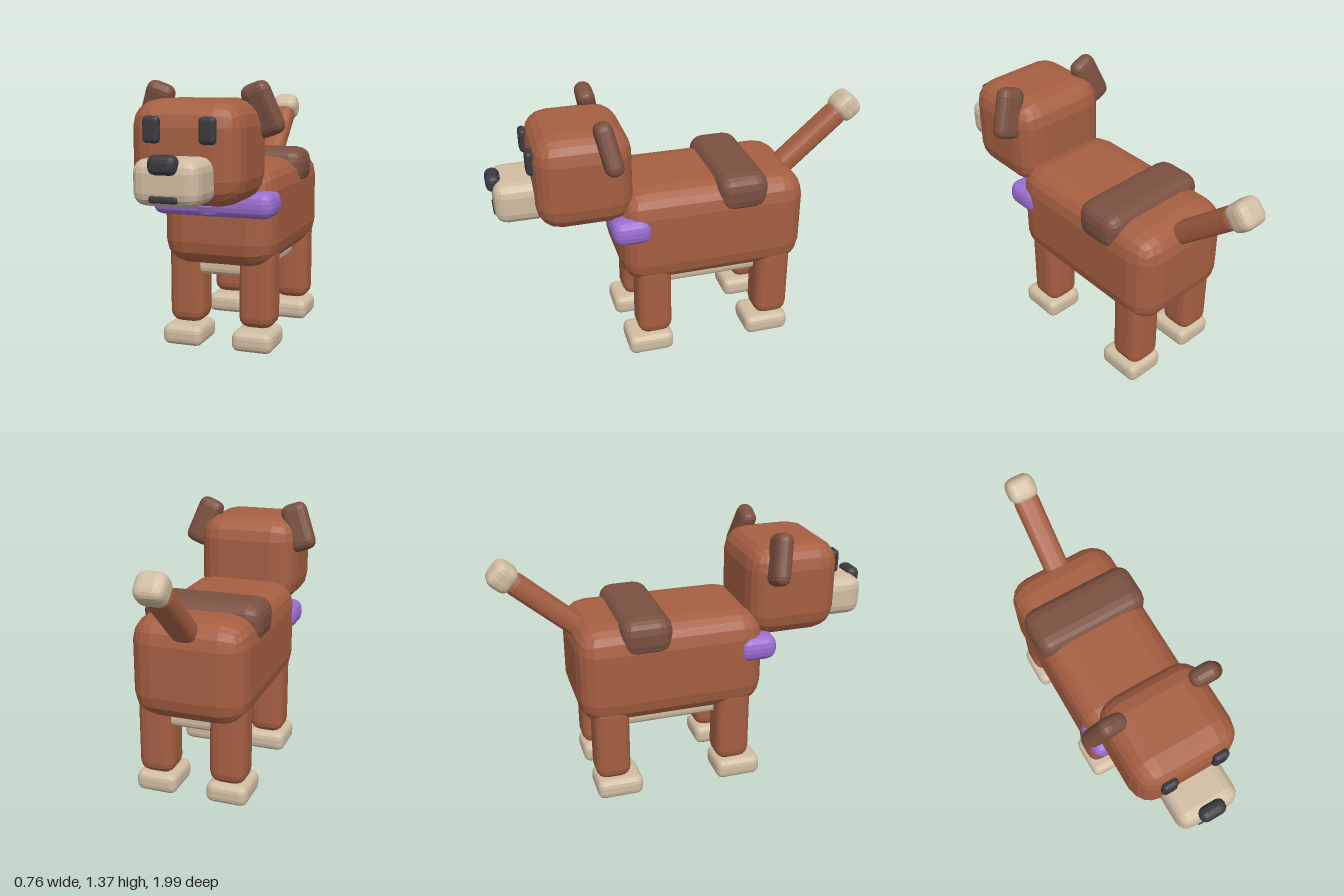
import * as THREE from 'three';
import { RoundedBoxGeometry } from 'three/addons/geometries/RoundedBoxGeometry.js';

const paint = (name, color) => {
  const m = new THREE.MeshStandardMaterial({ color });
  m.name = name;
  return m;
};

export function createModel() {
  const coat = paint('russet coat', 0xa65f42);
  const patch = paint('dark brown patch', 0x7a5040);
  const cream = paint('cream', 0xd0bda2);
  const purple = paint('purple collar', 0x9a6dd0);
  const black = paint('soft black', 0x3a3a40);

  const dog = new THREE.Group();
  dog.name = 'dog';

  const add = (name, geometry, material, pos, rot = [0, 0, 0]) => {
    const flat = geometry.index ? geometry.toNonIndexed() : geometry;
    flat.computeVertexNormals(); // faceted look
    const mesh = new THREE.Mesh(flat, material);
    mesh.name = name;
    mesh.position.set(...pos);
    mesh.rotation.set(...rot);
    dog.add(mesh);
    return mesh;
  };
  const block = (name, size, radius, material, pos, rot) =>
    add(name, new RoundedBoxGeometry(...size, 2, radius), material, pos, rot);

  // Torso
  block('body', [0.6, 0.53, 0.985], 0.13, coat, [0, 0.695, -0.12]);
  block('belly', [0.4, 0.13, 0.8], 0.035, cream, [0, 0.44, -0.12]);
  block('backPatch', [0.625, 0.205, 0.27], 0.075, patch, [0, 0.9, -0.262]);

  // Collar and its tag
  block('collar', [0.64, 0.135, 0.205], 0.055, purple, [0, 0.768, 0.322]);
  add('collarTag', new THREE.SphereGeometry(0.055, 6, 4), purple, [0, 0.765, 0.445]);

  // Head and face
  block('head', [0.55, 0.49, 0.49], 0.125, coat, [0, 1.045, 0.535]);
  block('snout', [0.32, 0.21, 0.27], 0.06, cream, [0, 0.935, 0.835]);
  block('nose', [0.138, 0.09, 0.075], 0.034, black, [0, 1.017, 0.96]);
  block('mouth', [0.136, 0.033, 0.03], 0.012, black, [0, 0.867, 0.96]);

  // Paired parts
  for (const s of [1, -1]) {
    const side = s > 0 ? 'left' : 'right';
    block(side + 'Eye', [0.082, 0.123, 0.042], 0.02, black, [s * 0.136, 1.155, 0.785]);
    block(side + 'Ear', [0.148, 0.268, 0.092], 0.045, patch, [s * 0.275, 1.237, 0.425], [0.2, 0, s * 0.36]);
    for (const [end, legZ, pawZ] of [['Front', 0.207, 0.235], ['Back', -0.453, -0.425]]) {
      block(side + end + 'Leg', [0.19, 0.44, 0.187], 0.058, coat, [s * 0.19, 0.33, legZ]);
      block(side + end + 'Paw', [0.218, 0.108, 0.245], 0.038, cream, [s * 0.19, 0.055, pawZ]);
    }
  }

  // Tail, rising backwards
  block('tail', [0.132, 0.46, 0.11], 0.045, coat, [0, 1.033, -0.72], [-0.85, 0, 0]);
  block('tailTip', [0.15, 0.13, 0.14], 0.045, cream, [0, 1.202, -0.915], [-0.85, 0, 0]);

  return dog;
}
